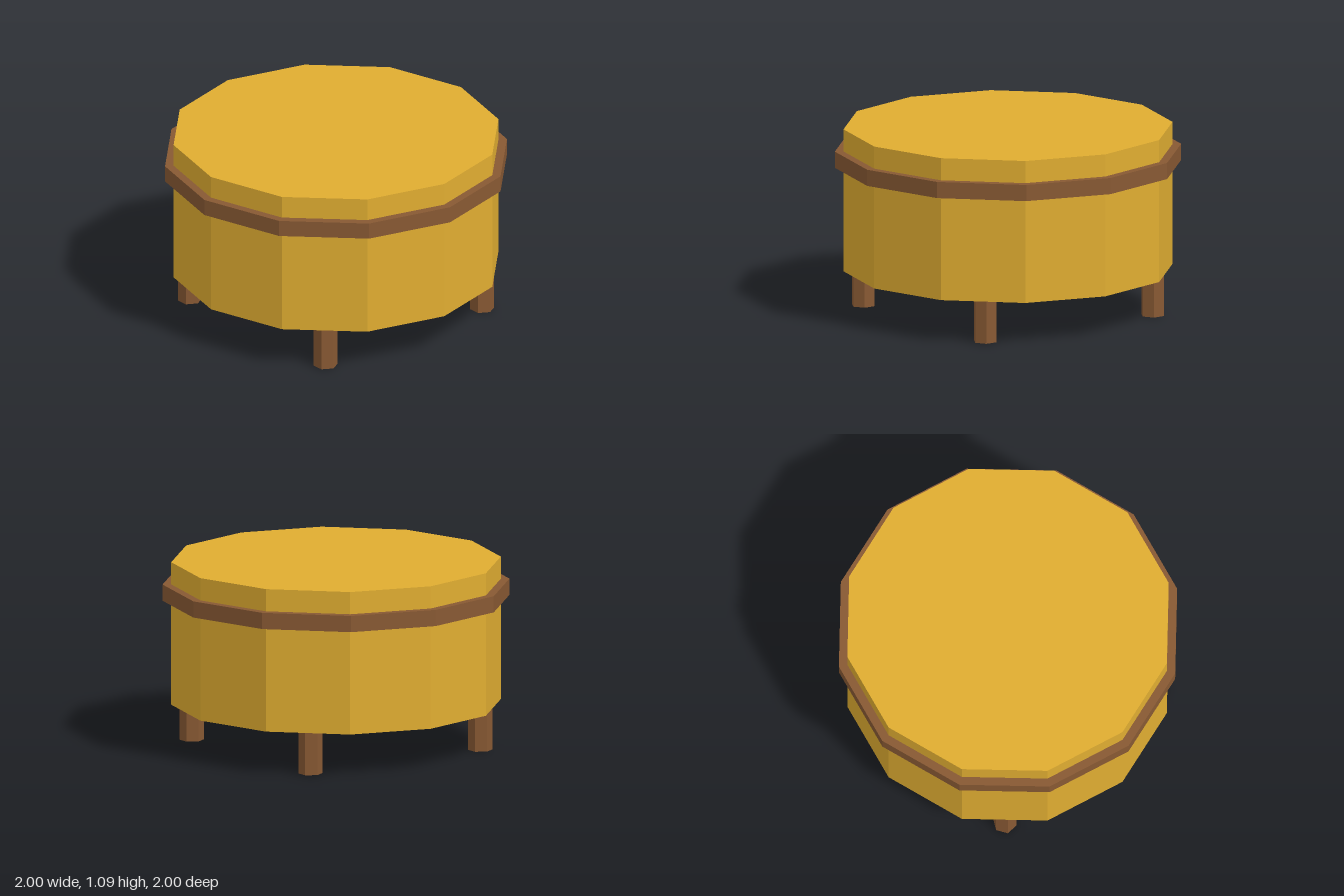
import * as THREE from 'three';

export function createModel() {
  const group = new THREE.Group();

  const ochre = new THREE.MeshStandardMaterial({ color: 0xe0ad31, flatShading: true });
  ochre.name = 'ochre';
  const brown = new THREE.MeshStandardMaterial({ color: 0x885933, flatShading: true });
  brown.name = 'brown wood';

  // Upright prism between two heights, with a corner facing +z
  function prism(name, radius, y0, y1, sides, material, x = 0, z = 0) {
    const mesh = new THREE.Mesh(new THREE.CylinderGeometry(radius, radius, y1 - y0, sides), material);
    mesh.name = name;
    mesh.position.set(x, (y0 + y1) / 2, z);
    group.add(mesh);
  }

  // Twelve-sided drum and the band around it
  prism('body', 0.95, 0.25, 1.085, 12, ochre);
  prism('band', 1, 0.86, 0.955, 12, brown);

  // Four hexagonal legs
  for (const [side, sx] of [['Left', 1], ['Right', -1]]) {
    for (const [end, sz] of [['front', 1], ['back', -1]]) {
      prism(`${end}${side}Leg`, 0.07, 0, 0.25, 6, brown, sx * 0.595, sz * 0.595);
    }
  }

  return group;
}
